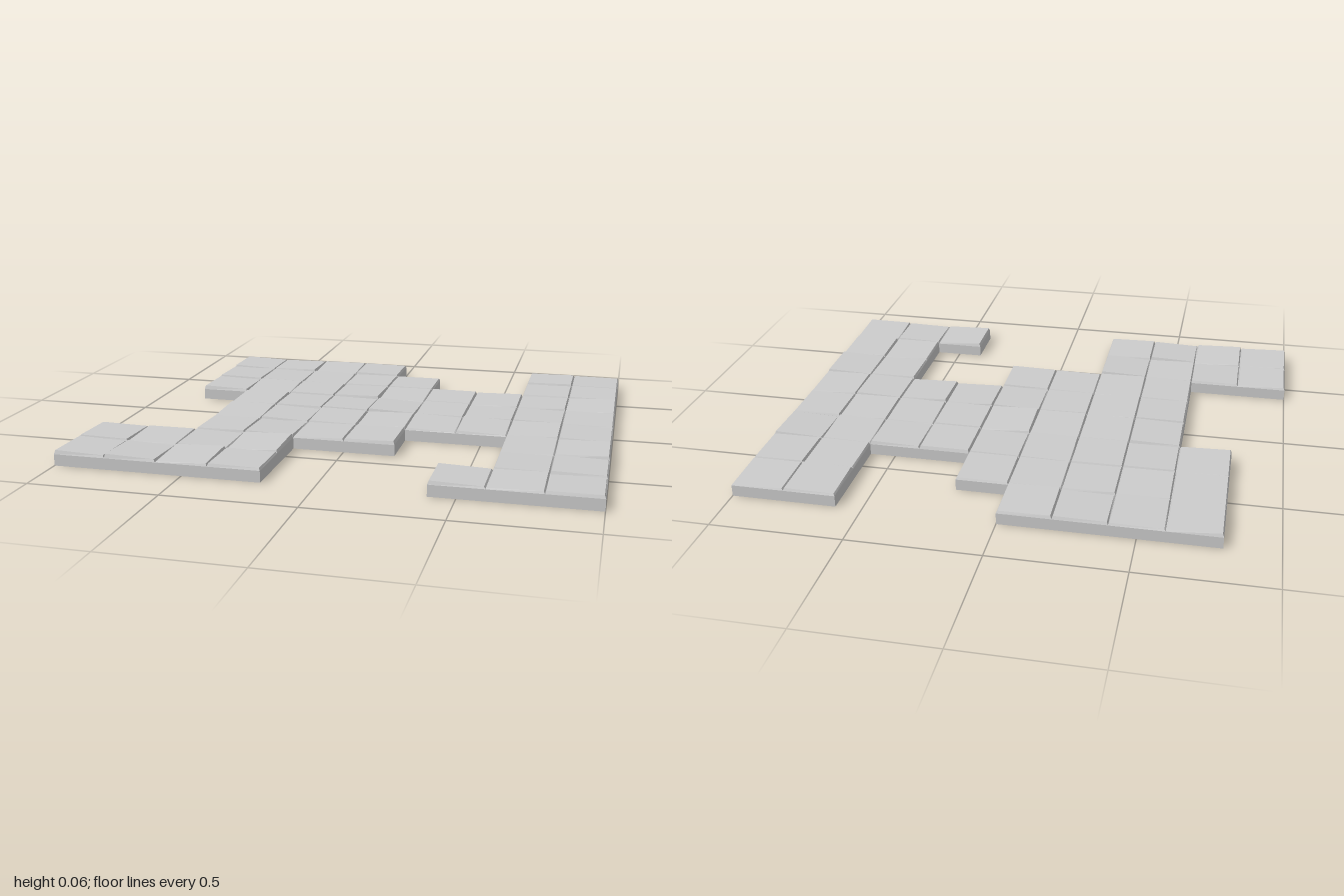
import * as THREE from 'three';

// Floor plan: one character per slab, back row first
const PLAN = [
  '.####...##',
  '.#####..##',
  '.#########',
  '..########',
  '..########',
  '..####..##',
  '####....##',
  '####...###',
];
const SIZE = 0.2, RIM = 0.044, INSET = 0.005;

function seeded(seed) {
  return () => (seed = (seed * 16807) % 2147483647) / 2147483647;
}

// Hollow slab, open underneath: upright skirt, narrow bevel, gently tilted top
function slabGeometry(height, tiltX, tiltZ) {
  const box = new THREE.BoxGeometry(SIZE, 2, SIZE, 1, 2, 1);
  const index = Array.from(box.index.array);
  index.splice(30, 6); // remove the underside
  box.setIndex(index);
  box.clearGroups();
  const geo = box.toNonIndexed();
  const p = geo.attributes.position;
  for (let i = 0; i < p.count; i++) {
    const sx = Math.sign(p.getX(i)), sz = Math.sign(p.getZ(i));
    const level = Math.round(p.getY(i));
    const half = SIZE / 2 - (level === 1 ? INSET : 0);
    const y = level < 0 ? 0 : level === 0 ? RIM : height + sx * tiltX + sz * tiltZ;
    p.setXYZ(i, sx * half, y, sz * half);
  }
  geo.computeVertexNormals();
  return geo;
}

export function createModel() {
  const group = new THREE.Group();
  group.name = 'pavedFloor';
  const material = new THREE.MeshStandardMaterial({
    color: 0xcccccc, flatShading: true, side: THREE.DoubleSide,
  });
  const random = seeded(4711);
  PLAN.forEach((row, r) => {
    [...row].forEach((cell, c) => {
      if (cell !== '#') return;
      const tiltX = (random() - 0.5) * 0.007, tiltZ = (random() - 0.5) * 0.007;
      const height = 0.054 + (random() - 0.5) * 0.004;
      const slab = new THREE.Mesh(slabGeometry(height, tiltX, tiltZ), material);
      slab.name = `slab_${r}_${c}`;
      slab.position.set(-1 + SIZE * (c + 0.5), 0, -0.8 + SIZE * (r + 0.5));
      group.add(slab);
    });
  });
  return group;
}
